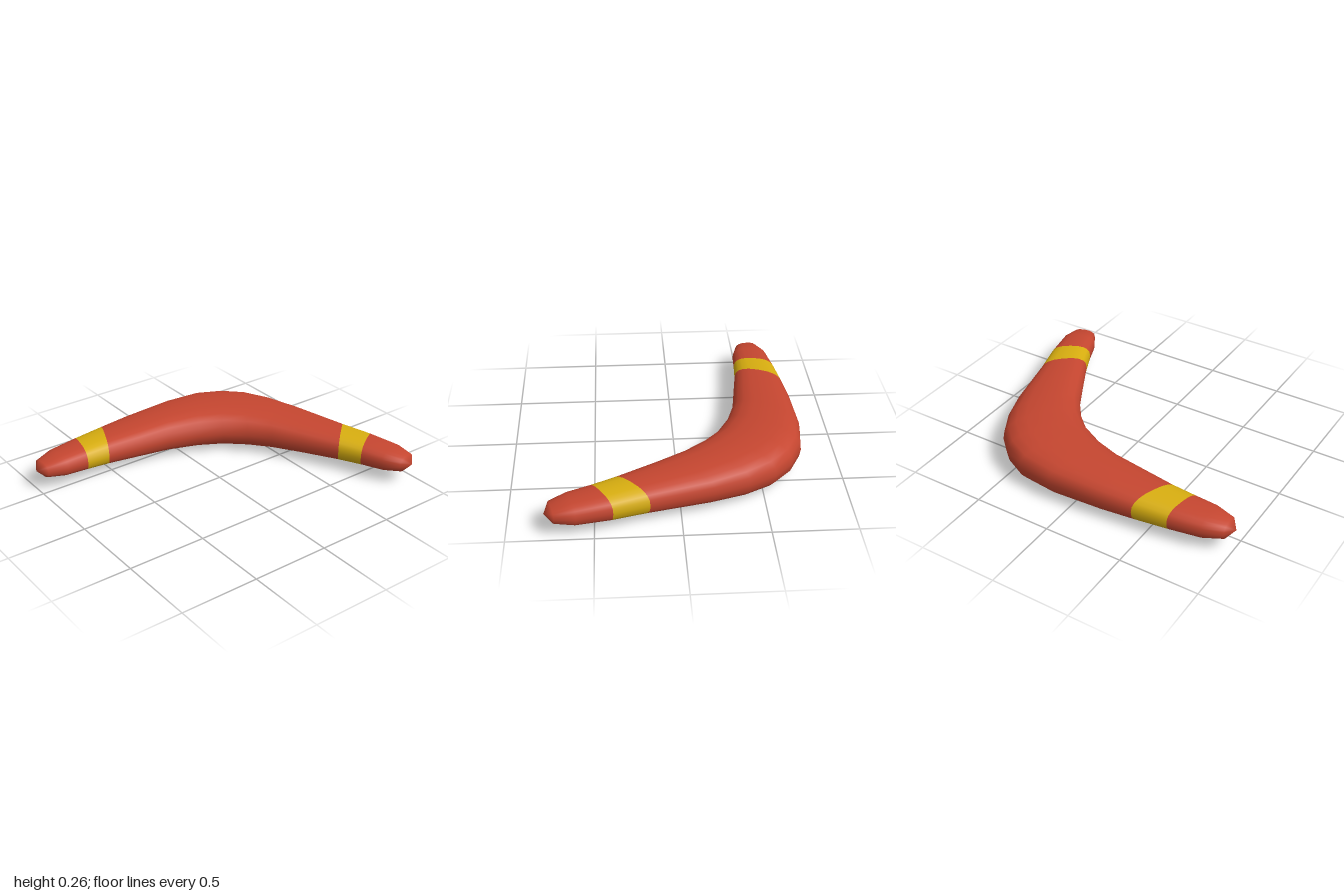
import * as THREE from 'three';

const SIDES = 20;
const MID_Y = 0.133;

// Cross-sections along the bend: outer x, z, inner x, z, half height
const SECTIONS = [
  [-0.96, -0.65, -0.95, -0.5, 0.048],
  [-0.84, -0.70, -0.83, -0.467, 0.07],
  [-0.64, -0.73, -0.69, -0.46, 0.08],
  [-0.42, -0.755, -0.54, -0.45, 0.091],
  [-0.2, -0.775, -0.33, -0.42, 0.104],
  [0.14, -0.787, -0.12, -0.39, 0.119],
  [0.37, -0.757, 0.07, -0.33, 0.129],
  [0.52, -0.68, 0.22, -0.25, 0.132],
  [0.635, -0.57, 0.34, -0.14, 0.13],
  [0.725, -0.41, 0.44, -0.01, 0.121],
  [0.80, -0.2, 0.54, 0.17, 0.106],
  [0.893, 0.18, 0.66, 0.39, 0.09],
  [0.955, 0.39, 0.725, 0.53, 0.081],
  [1.0, 0.6, 0.775, 0.66, 0.07],
  [0.993, 0.72, 0.84, 0.76, 0.048],
];
const START_TIP = [-1, MID_Y, -0.57];
const END_TIP = [0.93, MID_Y, 0.78];
const BANDS = [2, 11]; // spans painted as bands

// Rounded, slightly flattened section
const soft = (v) => Math.sign(v) * Math.pow(Math.abs(v), 0.78);

function bodyGeometry() {
  const positions = [];
  for (const [ox, oz, ix, iz, h] of SECTIONS) {
    for (let j = 0; j < SIDES; j++) {
      const a = (j / SIDES) * Math.PI * 2;
      const c = soft(Math.cos(a));
      positions.push(
        (ox + ix) / 2 + ((ox - ix) / 2) * c,
        MID_Y + h * soft(Math.sin(a)),
        (oz + iz) / 2 + ((oz - iz) / 2) * c,
      );
    }
  }
  const startTip = positions.length / 3;
  positions.push(...START_TIP, ...END_TIP);

  const geometry = new THREE.BufferGeometry();
  const index = [];
  const at = (i, j) => i * SIDES + (j % SIDES);
  const last = SECTIONS.length - 1;

  // Rounded start cap
  for (let j = 0; j < SIDES; j++) index.push(startTip, at(0, j + 1), at(0, j));
  geometry.addGroup(0, index.length, 0);

  // Spans between sections
  for (let i = 0; i < last; i++) {
    const start = index.length;
    for (let j = 0; j < SIDES; j++) {
      const a = at(i, j), b = at(i, j + 1), c = at(i + 1, j), d = at(i + 1, j + 1);
      index.push(a, b, c, b, d, c);
    }
    geometry.addGroup(start, index.length - start, BANDS.includes(i) ? 1 : 0);
  }

  // Rounded end cap
  const capStart = index.length;
  for (let j = 0; j < SIDES; j++) index.push(at(last, j), at(last, j + 1), startTip + 1);
  geometry.addGroup(capStart, index.length - capStart, 0);

  geometry.setAttribute('position', new THREE.Float32BufferAttribute(positions, 3));
  geometry.setIndex(index);
  geometry.computeVertexNormals();
  return geometry;
}

export function createModel() {
  const red = new THREE.MeshStandardMaterial({ color: 0xc54630 });
  red.name = 'paintedRed';
  const yellow = new THREE.MeshStandardMaterial({ color: 0xd8ae10 });
  yellow.name = 'bandYellow';

  const group = new THREE.Group();
  group.name = 'boomerang';
  const body = new THREE.Mesh(bodyGeometry(), [red, yellow]);
  body.name = 'bandedBody';
  group.add(body);
  return group;
}
